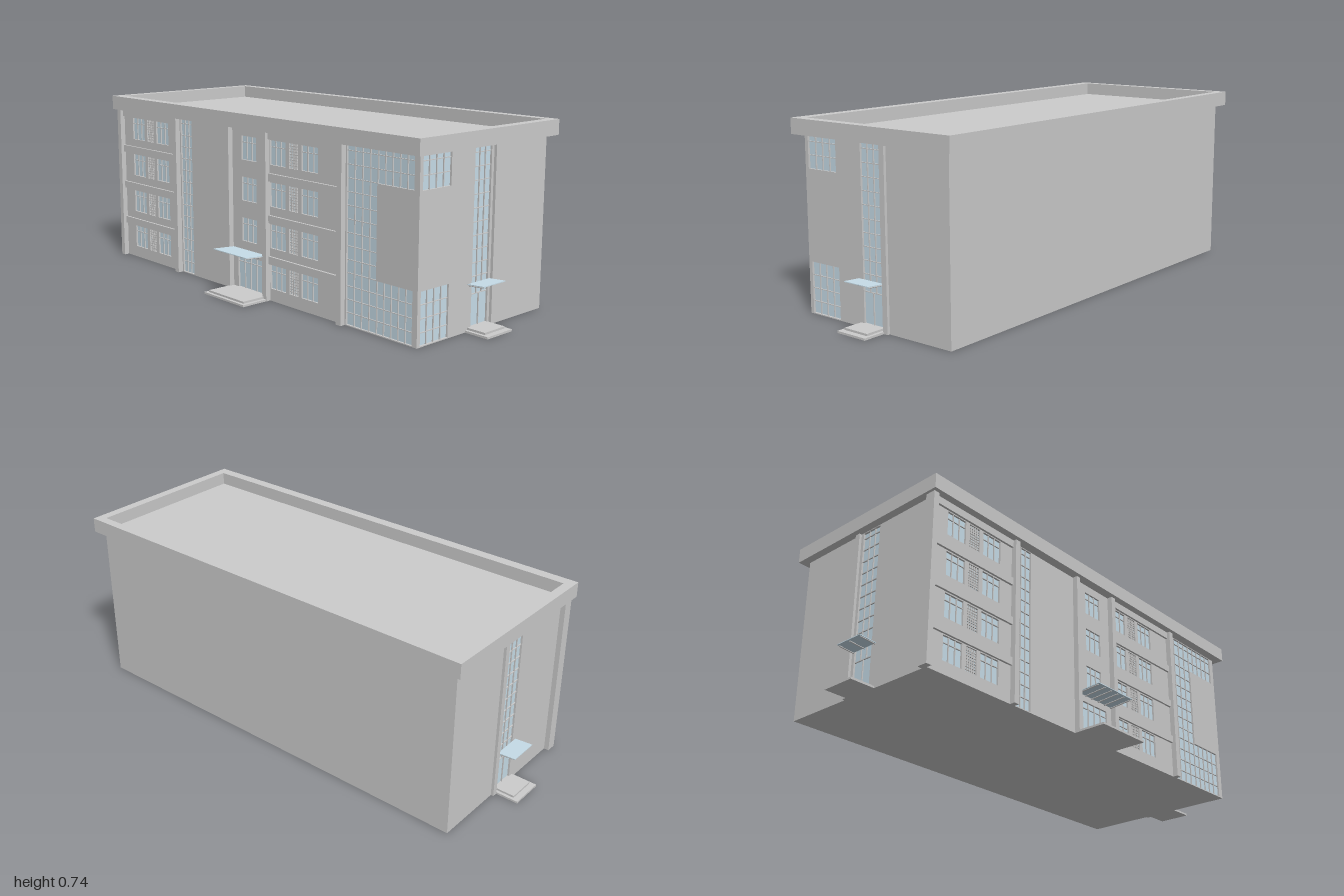
import * as THREE from 'three';

const grey = new THREE.MeshStandardMaterial({ color: 0xcccccc });
const glass = new THREE.MeshStandardMaterial({ color: 0xc8deea });

const TOP = 0.676;      // underside of the roof
const SKIN = 0.012;     // thickness of the facade skin

// Box given by its limits
function box(parent, name, x0, x1, y0, y1, z0, z1, mat = grey) {
  const m = new THREE.Mesh(new THREE.BoxGeometry(x1 - x0, y1 - y0, z1 - z0), mat);
  m.position.set((x0 + x1) / 2, (y0 + y1) / 2, (z0 + z1) / 2);
  m.name = name;
  parent.add(m);
  return m;
}

const rect = (x0, x1, y0, y1) => [[x0, y0], [x1, y0], [x1, y1], [x0, y1]];
const toPath = (pts, Type) => new Type(pts.map(([x, y]) => new THREE.Vector2(x, y)));

// Flat wall with openings; its outer face lies on local z = 0
function wall(parent, outline, holes) {
  const shape = toPath(outline, THREE.Shape);
  holes.forEach(h => shape.holes.push(toPath(h, THREE.Path)));
  const geo = new THREE.ExtrudeGeometry(shape, { depth: SKIN, bevelEnabled: false });
  geo.translate(0, 0, -SKIN);
  const m = new THREE.Mesh(geo, grey);
  m.name = 'wall';
  parent.add(m);
}

// Recessed glass with a grid of mullions at the given fractions
function glazing(parent, name, [x0, x1, y0, y1], xs, ys, bar = 0.003) {
  const g = new THREE.Group();
  g.name = name;
  box(g, 'pane', x0, x1, y0, y1, -SKIN, -0.008, glass);
  xs.forEach(x => box(g, 'mullion', x - bar / 2, x + bar / 2, y0, y1, -0.008, -0.003));
  ys.forEach(y => box(g, 'transom', x0, x1, y - bar / 2, y + bar / 2, -0.008, -0.0035));
  parent.add(g);
}

// Interior division points of an interval
const split = (a, b, n) => Array.from({ length: n - 1 }, (_, i) => a + (b - a) * (i + 1) / n);
// Storey grid lines between two heights
const rows = (a, b, step = 0.05) => {
  const out = [];
  for (let y = step; y < b - 0.01; y += step) if (y > a + 0.01) out.push(y);
  return out;
};

// Steps and a glass canopy on rods in front of a door
function entrance(parent, x, lower, upper, canopy, rods) {
  const g = new THREE.Group();
  g.name = 'entrance';
  box(g, 'lowerStep', x - lower[0] / 2, x + lower[0] / 2, 0, 0.008, -0.005, lower[1]);
  box(g, 'upperStep', x - upper[0] / 2, x + upper[0] / 2, 0.008, 0.016, -0.005, upper[1]);
  const roof = new THREE.Group();
  roof.name = 'canopy';
  roof.position.set(x, 0.174, 0);
  roof.rotation.x = -0.07;
  box(roof, 'canopyGlass', -canopy[0] / 2, canopy[0] / 2, 0.002, 0.005, 0, canopy[1], glass);
  for (let i = 0; i < rods; i++) {
    const rod = new THREE.Mesh(new THREE.CylinderGeometry(0.0025, 0.0025, canopy[1] - 0.006, 8), grey);
    rod.rotation.x = Math.PI / 2;
    rod.position.set((i / (rods - 1) - 0.5) * (canopy[0] - 0.008), -0.0005, canopy[1] / 2 - 0.003);
    rod.name = 'canopyRod';
    roof.add(rod);
  }
  g.add(roof);
  parent.add(g);
}

function frontFacade() {
  const f = new THREE.Group();
  f.name = 'frontFacade';
  const holes = [];
  const floors = [0.05, 0.214, 0.38, 0.545];
  const H = 0.096;

  // Two apartment bays: windows, louvred balcony doors and floor bands
  [[-0.826, -0.893, -0.49], [0.125, 0.123, 0.518]].forEach(([x, b0, b1]) => {
    floors.forEach(y => {
      [x, x + 0.182].forEach(w => {
        holes.push(rect(w, w + 0.091, y, y + H));
        glazing(f, 'window', [w, w + 0.091, y, y + H], [w + 0.03, w + 0.061], [y + 0.07]);
      });
      const d0 = x + 0.111, d1 = x + 0.163;
      holes.push(rect(d0, d1, y, y + H));
      glazing(f, 'balconyDoor', [d0, d1, y, y + H], split(d0, d1, 5), split(y, y + H, 9), 0.0035);
    });
    [0.15, 0.315, 0.481, 0.645].forEach(y => box(f, 'floorBand', b0, b1, y, y + 0.031, -0.001, 0.009));
  });

  // Stairwell strip
  holes.push(rect(-0.46, -0.382, 0.004, 0.672));
  glazing(f, 'stairGlazing', [-0.46, -0.382, 0.004, 0.672], split(-0.46, -0.382, 3), rows(0, TOP));

  // Centre bay with main door
  floors.slice(1).forEach(y => {
    holes.push(rect(-0.049, 0.042, y, y + H));
    glazing(f, 'window', [-0.049, 0.042, y, y + H], [-0.019, 0.012], [y + 0.07]);
  });
  holes.push(rect(-0.077, 0.072, 0.016, 0.15));
  glazing(f, 'mainDoor', [-0.077, 0.072, 0.016, 0.15], split(-0.077, 0.072, 4), [0.125]);
  entrance(f, -0.003, [0.25, 0.138], [0.22, 0.125], [0.208, 0.105], 6);

  // Corner glazing around a solid panel
  const [a, m, b] = [0.549, 0.7, 0.873];
  holes.push([[a, 0.004], [b, 0.004], [b, 0.2], [m, 0.2], [m, 0.55], [b, 0.55], [b, 0.672], [a, 0.672]]);
  glazing(f, 'cornerGlazing', [a, m, 0.004, 0.672], split(a, m, 4), rows(0, TOP));
  glazing(f, 'cornerGlazing', [m, b, 0.004, 0.2], [m, ...split(m, b, 5)], rows(0, 0.2));
  glazing(f, 'cornerGlazing', [m, b, 0.55, 0.672], [m, ...split(m, b, 5)], rows(0.55, TOP));

  wall(f, rect(-0.897, 0.897, 0, TOP), holes);

  // Vertical piers
  [[-0.917, -0.893], [-0.49, -0.467], [-0.127, -0.107], [0.1, 0.123], [0.518, 0.543]]
    .forEach(([p, q]) => box(f, 'pier', p, q, 0, TOP, -0.02, 0.022));
  return f;
}

// side = 1 for +x, -1 for -x; local x runs along -side * z
function sideFacade(side) {
  const f = new THREE.Group();
  f.name = side > 0 ? 'leftFacade' : 'rightFacade';
  const span = (z0, z1) => (side > 0 ? [-z1, -z0] : [z0, z1]);
  const holes = [];

  // Full-height strip with a double door at the foot
  const [s0, s1] = span(-0.08, 0.012);
  holes.push(rect(s0, s1, 0.016, 0.672));
  glazing(f, 'stripGlazing', [s0, s1, 0.135, 0.672], split(s0, s1, 3), [0.135, ...rows(0.15, TOP)]);
  glazing(f, 'sideDoor', [s0, s1, 0.016, 0.135], split(s0, s1, 2), []);

  // Corner windows exist on one side only
  if (side > 0) {
    const [w0, w1] = span(0.138, 0.284);
    [[0.004, 0.2], [0.55, 0.672]].forEach(([y0, y1]) => {
      holes.push(rect(w0, w1, y0, y1));
      glazing(f, 'cornerWindow', [w0, w1, y0, y1], split(w0, w1, 4), rows(y0, y1));
    });
  }
  const [a, b] = span(-0.405, 0.288);
  wall(f, rect(a, b, 0, TOP), holes);

  const [p, q] = span(-0.115, -0.093);
  box(f, 'sidePier', p, q, 0, TOP, -0.005, 0.011);
  entrance(f, side * 0.027, [0.138, 0.103], [0.113, 0.08], [0.122, 0.073], 3);
  f.position.x = side * 0.897;
  f.rotation.y = side * Math.PI / 2;
  return f;
}

export function createModel() {
  const model = new THREE.Group();
  model.name = 'apartmentBuilding';

  box(model, 'core', -0.885, 0.885, 0, TOP, -0.405, 0.288);
  const front = frontFacade();
  front.position.z = 0.3;
  model.add(front, sideFacade(1), sideFacade(-1));

  // Roof deck and parapet
  box(model, 'roofDeck', -0.9, 0.9, 0.6755, 0.683, -0.41, 0.3);
  const ring = toPath(rect(-0.928, 0.928, -0.338, 0.437), THREE.Shape);
  ring.holes.push(toPath(rect(-0.89, 0.89, -0.295, 0.4), THREE.Path));
  const geo = new THREE.ExtrudeGeometry(ring, { depth: 0.06, bevelEnabled: false });
  geo.rotateX(-Math.PI / 2);
  const parapet = new THREE.Mesh(geo, grey);
  parapet.position.y = 0.675;
  parapet.name = 'parapet';
  model.add(parapet);
  return model;
}
